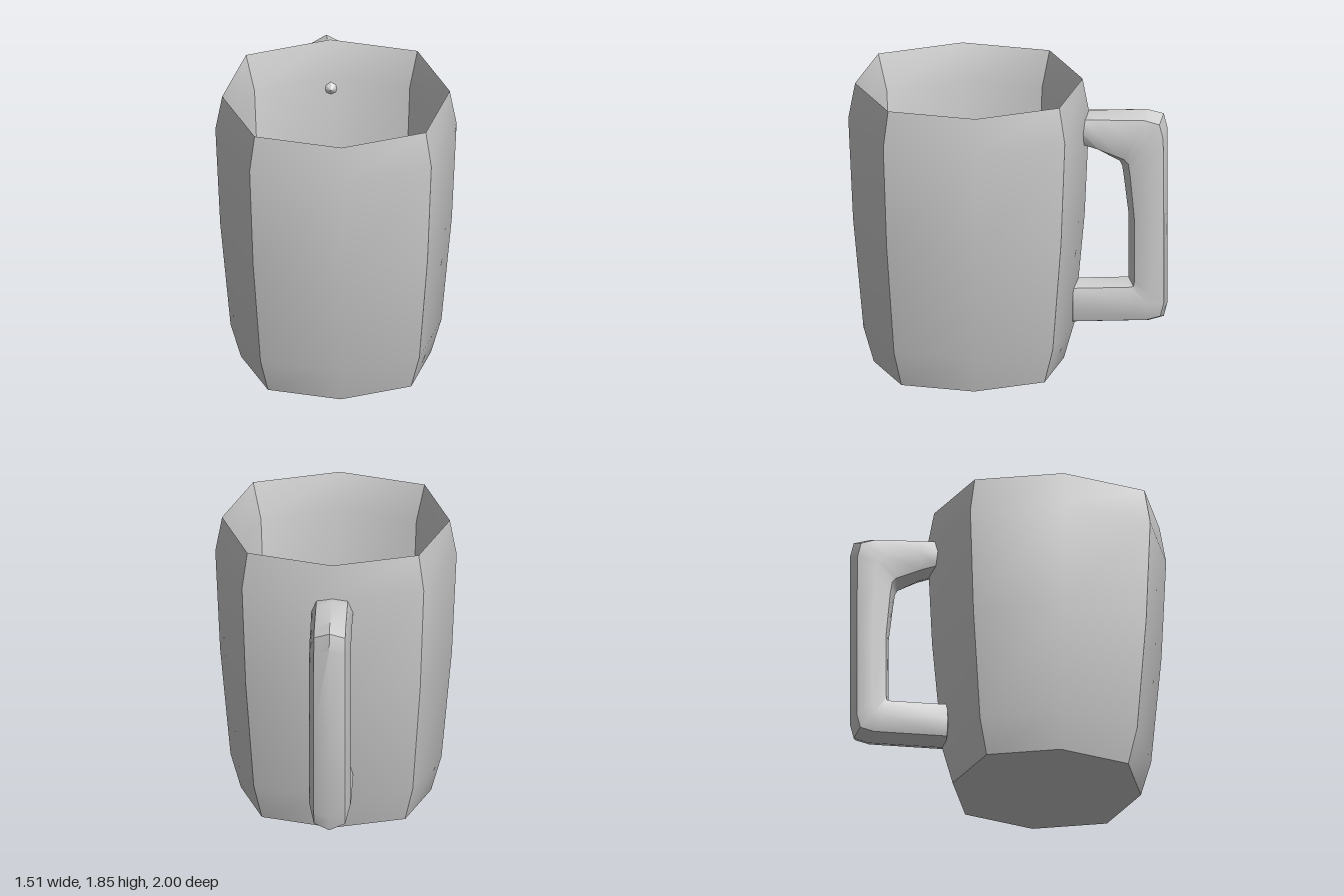
import * as THREE from 'three';
import { toCreasedNormals } from 'three/addons/utils/BufferGeometryUtils.js';

const SIDES = 8;
const CREASE = THREE.MathUtils.degToRad(44);
const DIAGONAL = 0.753; // coordinate of the in-between corners relative to the axis corners

// Eight-sided outline: corners on the axes plus slightly pushed-out diagonals
const corner = (j) => {
  const a = (j / SIDES) * Math.PI * 2;
  const k = j % 2 ? DIAGONAL / Math.SQRT1_2 : 1;
  return [Math.sin(a) * k, Math.cos(a) * k];
};

// Skin a list of rings, closed by a fan to a centre point at each end
function loft(start, rings, end) {
  const positions = [];
  const tri = (a, b, c) => positions.push(...a, ...b, ...c);
  const last = rings[rings.length - 1];
  for (let j = 0; j < SIDES; j++) {
    const n = (j + 1) % SIDES;
    tri(start, rings[0][n], rings[0][j]);
    for (let i = 0; i < rings.length - 1; i++) {
      const lower = rings[i], upper = rings[i + 1];
      tri(lower[j], lower[n], upper[n]);
      tri(lower[j], upper[n], upper[j]);
    }
    tri(end, last[j], last[n]);
  }
  const geometry = new THREE.BufferGeometry();
  geometry.setAttribute('position', new THREE.Float32BufferAttribute(positions, 3));
  return toCreasedNormals(geometry, CREASE);
}

const makeRing = (place) => Array.from({ length: SIDES }, (_, j) => place(...corner(j)));

export function createModel() {
  const group = new THREE.Group();
  const material = new THREE.MeshStandardMaterial({ color: 0xcccccc });
  const add = (name, geometry) => {
    const mesh = new THREE.Mesh(geometry, material);
    mesh.name = name;
    group.add(mesh);
  };

  // Cup: up the outside, over the sharp rim, down the inside to a bowl-shaped floor
  const cupZ = 0.245;
  const profile = [ // [radius, height]
    [0.595, 0], [0.66, 0.23], [0.725, 0.95], [0.755, 1.62], [0.712, 1.85],
    [0.645, 1.62], [0.615, 0.95], [0.55, 0.38], [0.46, 0.27],
  ];
  add('cup', loft(
    [0, 0, cupZ],
    profile.map(([r, y]) => makeRing((s, c) => [r * s, y, cupZ + r * c])),
    [0, 0.07, cupZ],
  ));

  // Handle: each station is its outer and inner edge, [outerZ, outerY, innerZ, innerY]
  const halfWidth = 0.13;
  const stations = [
    [-0.46, 1.64, -0.46, 1.42],
    [-0.56, 1.64, -0.56, 1.38],
    [-0.87, 1.64, -0.70, 1.30],
    [-0.975, 1.61, -0.715, 1.27],
    [-1.0, 1.51, -0.725, 1.2],
    [-1.0, 0.95, -0.755, 0.95],
    [-1.0, 0.36, -0.755, 0.55],
    [-0.975, 0.265, -0.753, 0.532],
    [-0.88, 0.24, -0.74, 0.53],
    [-0.4, 0.24, -0.4, 0.53],
  ];
  add('handle', loft(
    [0, 1.55, -0.355],
    stations.map(([oz, oy, iz, iy]) => makeRing((s, c) => [
      halfWidth * s,
      (oy + iy) / 2 + (c * (oy - iy)) / 2,
      (oz + iz) / 2 + (c * (oz - iz)) / 2,
    ])),
    [0, 0.385, -0.37],
  ));

  return group;
}
